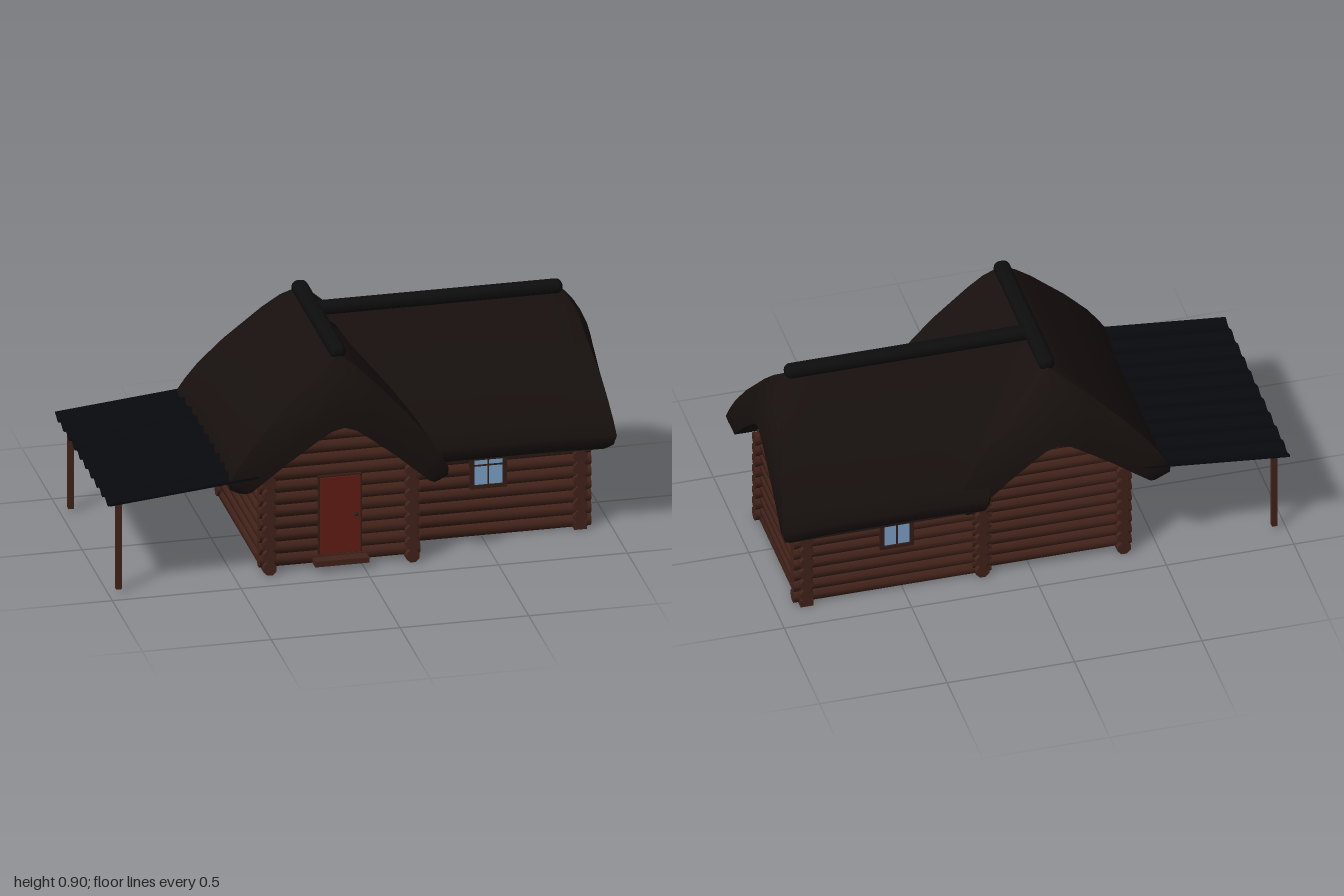
import * as THREE from 'three';
import { toCreasedNormals } from 'three/addons/utils/BufferGeometryUtils.js';
import { RoundedBoxGeometry } from 'three/addons/geometries/RoundedBoxGeometry.js';

const mat = (color, side = THREE.FrontSide) => new THREE.MeshStandardMaterial({ color, side });
const M = {
  log: mat(0x42231a), frame: mat(0x341c14), thatch: mat(0x17100e, THREE.DoubleSide), ridge: mat(0x0c0d0c),
  sheet: mat(0x07090d), floor: mat(0x1a1a1a), door: mat(0x621d13), glass: mat(0x7da3cc), knob: mat(0x222222),
};

function add(parent, name, geo, material, x = 0, y = 0, z = 0) {
  const m = new THREE.Mesh(geo, material);
  m.name = name;
  m.position.set(x, y, z);
  parent.add(m);
}
const box = (p, name, w, h, d, material, x, y, z) => add(p, name, new THREE.BoxGeometry(w, h, d), material, x, y, z);

// One horizontal log lying along 'x' or 'z' from a to b
function log(parent, axis, a, b, y, across) {
  const geo = toCreasedNormals(new THREE.CylinderGeometry(0.0275, 0.0275, b - a, 8), 0.9);
  geo.rotateY(Math.PI / 8);
  const mid = (a + b) / 2;
  if (axis === 'x') add(parent, 'log', geo.rotateZ(Math.PI / 2), M.log, mid, y, across);
  else add(parent, 'log', geo.rotateX(Math.PI / 2), M.log, across, y, mid);
}

// A stacked log wall; with a gable its upper logs get shorter towards the top
function wall(parent, name, axis, a, b, across, y0, gable = { top: 0.41 }) {
  const g = new THREE.Group();
  g.name = name;
  parent.add(g);
  for (let y = y0; y < gable.top - 0.03; y += 0.05) {
    const half = Math.min((gable.top - y) * 1.25, 0.305);
    if (y < 0.38) log(g, axis, a, b, y, across);
    else log(g, axis, gable.mid - half, gable.mid + half, y, across);
  }
}

// Half profiles from ridge to eave as [fraction of half width, height]
const OUTER = [[0, 0.87], [0.15, 0.825], [0.3, 0.77], [0.62, 0.635], [0.82, 0.535], [0.93, 0.465], [1, 0.41], [1, 0.375], [0.94, 0.35]];
const INNER = [[0, 0.605], [0.12, 0.59], [0.26, 0.55], [0.5, 0.475], [0.64, 0.425], [0.74, 0.39], [0.82, 0.362], [0.87, 0.352], [0.94, 0.35]];

// Thatched roof: each column is a ring running over the top, round both hoods and back underneath.
// ends: [ridge end, eave end, lip] for the low and the high end of the axis
function roof(o) {
  const cols = [];
  for (let k = -8; k <= 8; k++) {
    const i = Math.abs(k), sg = Math.sign(k), w = k < 0 ? o.wNeg : o.wPos;
    const rise = (k < 0 ? o.liftNeg : o.liftPos) * i / 8;
    const f = OUTER[i][0], tuck = [0, 0.012, 0.035][Math.max(0, i - 6)];
    const O = [sg * w * f, OUTER[i][1] + rise];
    const I = [sg * w * INNER[i][0], INNER[i][1] + rise + o.apex * (1 - i / 8)];
    const [lo, hi] = o.ends.map(([r, e, lip], n) => {
      const inward = (n ? -1 : 1) * tuck;
      return { c: r + (e - r) * Math.sqrt(f * (0.4 + 0.6 * f)) + inward, lip: lip + inward };
    });
    // The eaves flare out a little towards the gable ends
    const flare = 1 + 0.035 * f;
    // Rounded hood between the outer edge and the opening
    const hood = (e, sign, t) => {
      const bulge = 4 * t * (1 - t) * (1 - f);
      return [(O[0] + (I[0] - O[0]) * t) * flare, O[1] + (I[1] - O[1]) * t + 0.015 * bulge,
        e.c + (e.lip - e.c) * t + sign * 0.022 * bulge];
    };
    const ring = [];
    for (let s = 0; s <= 8; s++) {
      ring.push([O[0] * (1 + (flare - 1) * (s / 4 - 1) ** 4), O[1], lo.c + (hi.c - lo.c) * s / 8]);
    }
    for (const t of [0.25, 0.5, 0.75, 1]) ring.push(hood(hi, 1, t));
    for (const t of [1, 0.75, 0.5, 0.25]) ring.push(hood(lo, -1, t));
    cols.push(ring);
  }
  const n = cols[0].length, pos = [], idx = [];
  cols.forEach(ring => ring.forEach(([d, y, s]) => pos.push(d, y, s)));
  for (let c = 0; c < cols.length - 1; c++) {
    for (let r = 0; r < n; r++) {
      const a = c * n + r, b = c * n + (r + 1) % n;
      idx.push(a, b, b + n, a, b + n, a + n);
    }
  }
  const geo = new THREE.BufferGeometry();
  geo.setAttribute('position', new THREE.Float32BufferAttribute(pos, 3));
  geo.setIndex(idx);
  return toCreasedNormals(geo, 0.95);
}

function windowUnit(parent, name, x, y, z, w, h) {
  const g = new THREE.Group();
  g.name = name;
  g.position.set(x, y, z);
  parent.add(g);
  box(g, 'glass', w, h, 0.012, M.glass, 0, 0, 0);
  for (const s of [-1, 1]) {
    box(g, 'frameSide', 0.016, h + 0.022, 0.026, M.frame, s * (w / 2 + 0.006), 0, 0);
    box(g, 'frameRail', w + 0.028, 0.014, 0.026, M.frame, 0, s * (h / 2 + 0.004), 0);
  }
  box(g, 'mullion', 0.006, h, 0.018, M.frame, 0, 0, 0);
  box(g, 'crossbar', w, 0.006, 0.018, M.frame, 0, 0.01, 0);
}

export function createModel() {
  const root = new THREE.Group();
  root.name = 'logCabin';

  // Gabled front wing
  const wingGable = { top: 0.68, mid: -0.092 };
  wall(root, 'wingFrontWall', 'x', -0.4, 0.225, 0.357, 0.047, wingGable);
  wall(root, 'wingBackWall', 'x', -0.4, 0.225, -0.345, 0.047, wingGable);
  for (const x of [-0.365, 0.19]) wall(root, 'wingSideWall', 'z', -0.39, 0.405, x, 0.0268);

  // Long main house
  wall(root, 'mainFrontWall', 'x', 0.13, 0.925, 0.2, 0.0268);
  wall(root, 'mainBackWall', 'x', 0.15, 0.925, -0.345, 0.0268);
  wall(root, 'mainEndWall', 'z', -0.39, 0.24, 0.88, 0.05, { top: 0.7, mid: -0.07 });
  box(root, 'endSill', 0.05, 0.03, 0.63, M.log, 0.88, 0.015, -0.075);

  // Floors
  box(root, 'mainFloor', 0.637, 0.015, 0.492, M.floor, 0.535, 0.07, -0.072);
  box(root, 'wingFloor', 0.502, 0.015, 0.65, M.floor, -0.087, 0.07, 0.006);

  // Thatched roofs: the wing runs along z, the main roof along x
  const wing = roof({ wNeg: 0.428, wPos: 0.39, liftNeg: 0.014, liftPos: -0.01, apex: 0,
    ends: [[-0.3, -0.447, -0.452], [0.365, 0.458, 0.46]] });
  add(root, 'wingRoof', wing, M.thatch, -0.088, 0, 0);
  const main = roof({ wNeg: 0.382, wPos: 0.388, liftNeg: 0, liftPos: 0.005, apex: 0.035,
    ends: [[-0.09, 0.19, 0.16], [0.87, 1.0, 0.985]] });
  add(root, 'mainRoof', main.rotateY(Math.PI / 2), M.thatch, 0, 0, -0.07);

  // Ridge caps
  add(root, 'wingRidge', new RoundedBoxGeometry(0.064, 0.055, 0.675, 4, 0.026), M.ridge, -0.09, 0.876, 0.035);
  add(root, 'mainRidge', new RoundedBoxGeometry(0.99, 0.053, 0.062, 4, 0.025), M.ridge, 0.385, 0.875, -0.07);

  // Door with knob and step
  box(root, 'doorFrame', 0.168, 0.32, 0.03, M.frame, -0.09, 0.223, 0.378);
  box(root, 'door', 0.156, 0.312, 0.034, M.door, -0.09, 0.222, 0.381);
  add(root, 'doorKnob', new THREE.SphereGeometry(0.008, 12, 8), M.knob, -0.03, 0.22, 0.402);
  box(root, 'doorStep', 0.21, 0.022, 0.06, M.log, -0.09, 0.038, 0.398);

  // Windows
  windowUnit(root, 'frontWindow', 0.523, 0.287, 0.222, 0.115, 0.145);
  windowUnit(root, 'backWindow', 0.523, 0.297, -0.367, 0.105, 0.175);

  // Corrugated carport sheet on two posts
  const sheet = new THREE.BoxGeometry(0.58, 0.008, 0.915, 1, 1, 120);
  const p = sheet.attributes.position;
  for (let i = 0; i < p.count; i++) {
    p.setY(i, p.getY(i) + 0.1 * p.getX(i) + 0.008 * Math.cos(p.getZ(i) / 0.915 * Math.PI * 20));
  }
  add(root, 'carportRoof', toCreasedNormals(sheet, 0.7), M.sheet, -0.71, 0.398, 0.009);
  for (const z of [0.415, -0.375]) box(root, 'carportPost', 0.022, 0.352, 0.022, M.log, -0.957, 0.187, z);

  return root;
}
